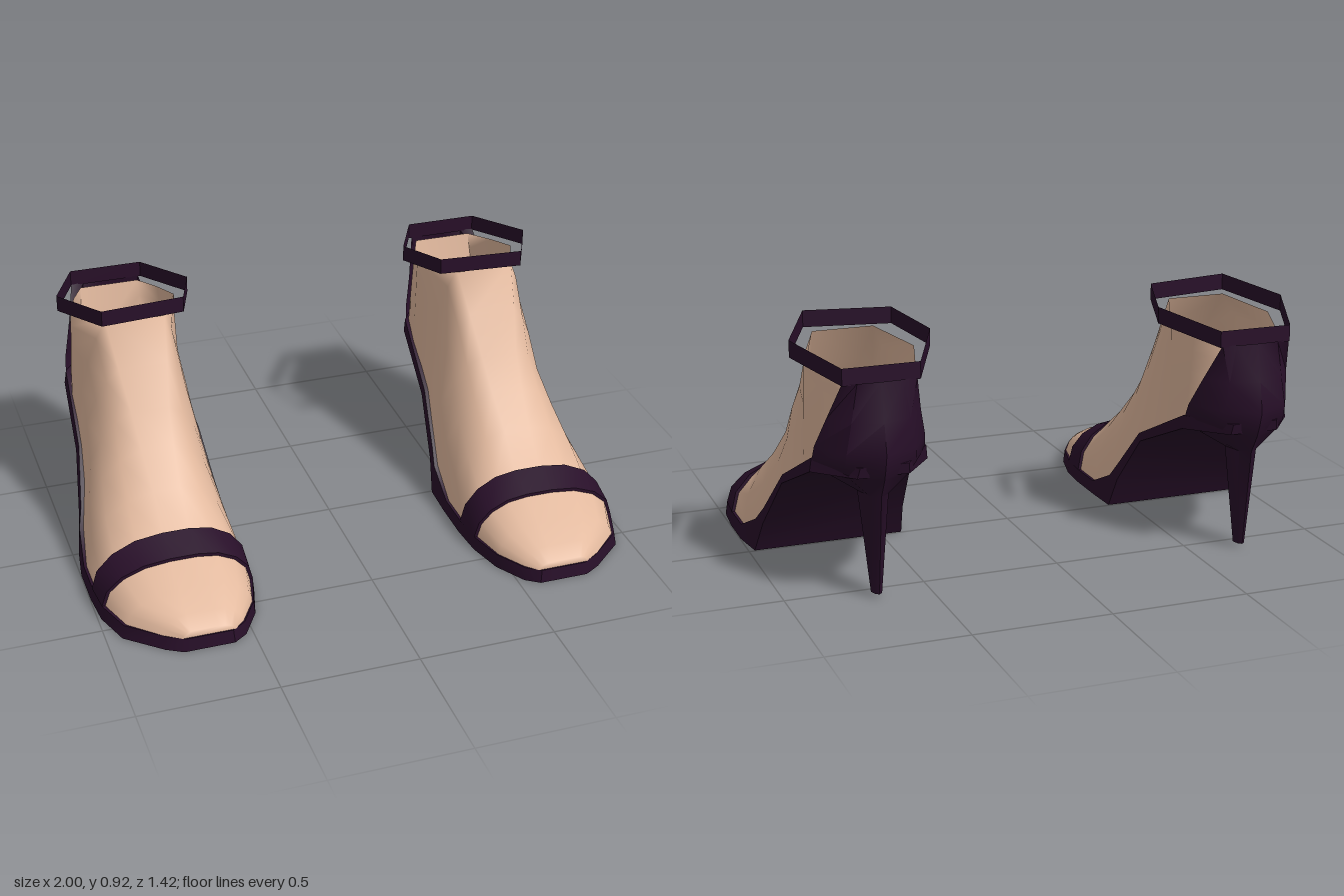
import * as THREE from 'three';
import { toCreasedNormals } from 'three/addons/utils/BufferGeometryUtils.js';

const skin = new THREE.MeshStandardMaterial({ color: 0xe2b99e, side: THREE.DoubleSide });
skin.name = 'skin';
const leather = new THREE.MeshStandardMaterial({ color: 0x280f29, side: THREE.DoubleSide });
leather.name = 'plumLeather';

// Joins rows of points into a surface; s = -1 mirrors it to the other foot.
// skip(i, j) leaves a quad out, crease (radians) keeps sharp edges.
function loft(rows, s, { closed = false, capStart = false, capEnd = false, skip = () => false, crease = 0 } = {}) {
  const n = rows[0].length, index = [];
  const tri = (a, b, c) => (s > 0 ? index.push(a, b, c) : index.push(a, c, b));
  for (let i = 0; i < rows.length - 1; i++) {
    for (let j = 0; j < (closed ? n : n - 1); j++) {
      if (skip(i, j)) continue;
      const a = i * n + j, b = i * n + (j + 1) % n;
      tri(a, a + n, b);
      tri(b, a + n, b + n);
    }
  }
  const last = (rows.length - 1) * n;
  for (let j = 1; j < n - 1; j++) {
    if (capStart) tri(0, j, j + 1);
    if (capEnd) tri(last, last + j + 1, last + j);
  }
  const geo = new THREE.BufferGeometry();
  geo.setAttribute('position', new THREE.Float32BufferAttribute(rows.flat().flatMap(([x, y, z]) => [s * x, y, z]), 3));
  geo.setIndex(index);
  geo.computeVertexNormals();
  return crease ? toCreasedNormals(geo, crease) : geo;
}

// Foot stations: lower z, lower y, inner x, outer x, upper z, upper y, upper half width, roundness
const STATIONS = [
  [0.70, 0.05, 0.57, 0.76, 0.70, 0.075, 0.05, 1],
  [0.66, 0.05, 0.53, 0.82, 0.64, 0.105, 0.05, 1],
  [0.56, 0.05, 0.47, 0.925, 0.55, 0.145, 0.05, 1],
  [0.425, 0.05, 0.44, 0.97, 0.43, 0.19, 0.05, 1],
  [0.305, 0.05, 0.43, 0.98, 0.32, 0.23, 0.05, 1],
  [0.16, 0.05, 0.43, 0.98, 0.20, 0.345, 0.05, 0.9],
  [0.01, 0.12, 0.44, 0.955, 0.09, 0.455, 0.06, 0.8],
  [-0.10, 0.24, 0.455, 0.92, 0.0, 0.565, 0.07, 0.7],
  [-0.19, 0.345, 0.47, 0.905, -0.08, 0.70, 0.09, 0.6],
  [-0.30, 0.395, 0.48, 0.895, -0.18, 0.85, 0.11, 0.5],
  [-0.40, 0.45, 0.485, 0.89, -0.38, 0.82, 0.195, 0.3],
  [-0.50, 0.50, 0.50, 0.87, -0.50, 0.80, 0.16, 0.2],
  [-0.56, 0.50, 0.56, 0.81, -0.62, 0.78, 0.11, 0.2],
];
const STEPS = 5, RIM = 9, ANKLE_X = 0.68;

// Arched cross-section from the outer edge over the top to the inner edge
function arch([zb, yb, xin, xout, zt, yt, wt, round], grow = 0) {
  const side = (xb, dir) => Array.from({ length: STEPS }, (_, j) => {
    const t = j / (STEPS - 1), a = t * Math.PI / 2;
    const up = THREE.MathUtils.lerp(t, Math.sin(a), round);
    const out = THREE.MathUtils.lerp(1 - t, Math.cos(a), round);
    const top = ANKLE_X + dir * wt;
    return [top + (xb + dir * grow - top) * out, yb + (yt + grow - yb) * up, zb + (zt - zb) * up];
  });
  return [...side(xout, 1), ...side(xin, -1).reverse()];
}

// Sole stations: z top, y top, z bottom, y bottom, inner x, outer x
const SOLE = [
  [0.705, 0.05, 0.71, 0, 0.58, 0.75],
  [0.67, 0.05, 0.675, 0, 0.53, 0.81],
  [0.56, 0.05, 0.565, 0, 0.465, 0.935],
  [0.43, 0.05, 0.43, 0, 0.43, 0.98],
  [0.30, 0.05, 0.30, 0, 0.42, 0.99],
  [0.16, 0.05, 0.14, 0, 0.42, 0.99],
  [0.01, 0.12, 0.005, 0, 0.425, 0.97],
  [-0.04, 0.177, -0.05, 0.12, 0.435, 0.95],
  [-0.19, 0.345, -0.21, 0.32, 0.455, 0.915],
  [-0.50, 0.50, -0.50, 0.45, 0.485, 0.89],
  [-0.67, 0.50, -0.66, 0.46, 0.60, 0.77],
];

// Heel stations: y, front z, back z, half width
const HEEL = [
  [0.785, -0.645, -0.66, 0.13],
  [0.65, -0.57, -0.69, 0.165],
  [0.545, -0.52, -0.71, 0.195],
  [0.49, -0.50, -0.695, 0.2],
  [0.45, -0.50, -0.68, 0.165],
  [0.38, -0.54, -0.64, 0.055],
  [0.015, -0.56, -0.595, 0.02],
];

// Ankle strap corners: x, z
const STRAP = [[0.925, -0.38], [0.82, -0.65], [0.55, -0.65], [0.43, -0.39], [0.5, -0.17], [0.81, -0.135]];

function makeFoot(s) {
  const group = new THREE.Group();
  group.name = s > 0 ? 'leftFoot' : 'rightFoot';
  const add = (name, geo, mat) => {
    const mesh = new THREE.Mesh(geo, mat);
    mesh.name = name;
    group.add(mesh);
  };

  // Foot, open at the ankle
  add('foot', loft(STATIONS.map((st) => arch(st)), s, {
    capStart: true, capEnd: true, skip: (i, j) => i >= RIM && j === STEPS - 1,
  }), skin);

  // Sole rising from the toe platform to the heel
  add('sole', loft(SOLE.map(([zt, yt, zb, yb, xin, xout]) => [
    [xout, yt, zt], [xin, yt, zt], [xin - 0.004, yb, zb], [xout + 0.008, yb, zb],
  ]), s, { closed: true, capStart: true, capEnd: true, crease: 0.6 }), leather);

  // Heel cup, open to the front, running into the spike
  const hx = 0.69;
  add('heel', loft(HEEL.map(([y, zf, zb, w]) => {
    const zm = zb + (zf - zb) * 0.3;
    return [[hx + w, y, zf], [hx + w * 0.62, y, zm], [hx, y, zb], [hx - w * 0.62, y, zm], [hx - w, y, zf]];
  }), s, { closed: true, capEnd: true, skip: (i, j) => i < 3 && j === 4, crease: 0.7 }), leather);

  // Toe strap, just proud of the foot
  const [front, back] = [STATIONS[3], STATIONS[4]];
  add('toeStrap', loft([arch(front), arch(front, 0.012), arch(back, 0.012), arch(back)], s, { crease: 0.7 }), leather);

  // Tilted ankle strap
  const band = (lift) => STRAP.map(([x, z]) => [x, 0.84 + lift + (z + 0.65) * 0.146, z]);
  add('ankleStrap', loft([band(0), band(-0.06)], s, { closed: true, crease: 0.4 }), leather);
  return group;
}

export function createModel() {
  const model = new THREE.Group();
  model.name = 'heeledSandals';
  model.add(makeFoot(1), makeFoot(-1));
  return model;
}
